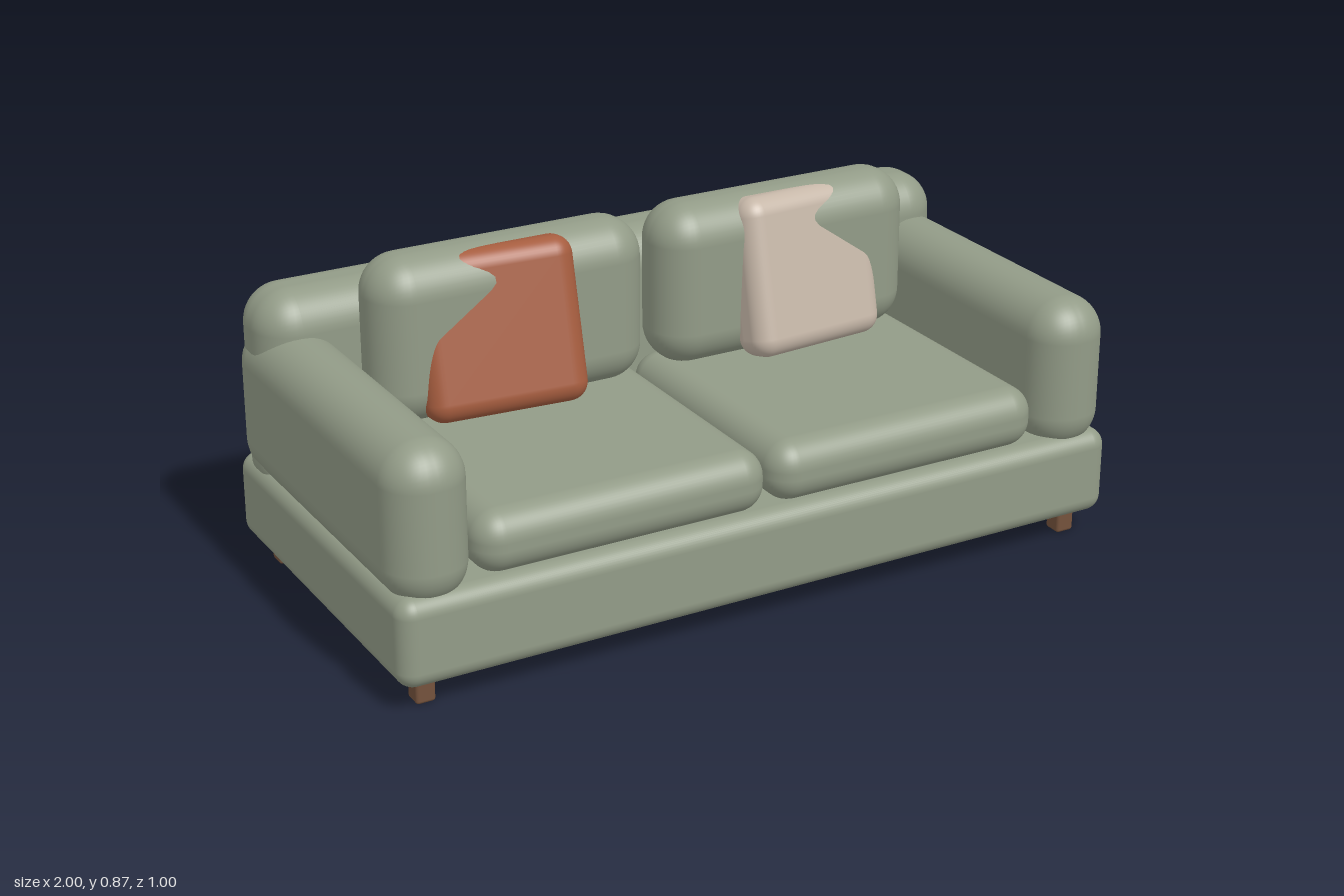
import * as THREE from 'three';
import { RoundedBoxGeometry } from 'three/addons/geometries/RoundedBoxGeometry.js';

const material = (name, color) => {
  const m = new THREE.MeshStandardMaterial({ color });
  m.name = name;
  return m;
};

// Rounded box given by its extents on each axis
function block(name, mat, [x0, x1], [y0, y1], [z0, z1], radius, segments = 6) {
  const mesh = new THREE.Mesh(
    new RoundedBoxGeometry(x1 - x0, y1 - y0, z1 - z0, segments, radius), mat);
  mesh.position.set((x0 + x1) / 2, (y0 + y1) / 2, (z0 + z1) / 2);
  mesh.name = name;
  return mesh;
}

export function createModel() {
  const sofa = new THREE.Group();
  sofa.name = 'sofa';
  const fabric = material('sage fabric', 0x929b87);
  const wood = material('brown wood', 0x74523c);
  const rust = material('rust fabric', 0xa65d3f);
  const sand = material('sand fabric', 0xc6b7a8);

  // Frame
  sofa.add(block('base', fabric, [-1, 1], [0.065, 0.295], [-0.5, 0.5], 0.045));
  sofa.add(block('backrest', fabric, [-0.99, 0.99], [0.2, 0.76], [-0.5, -0.27], 0.1));

  // Mirrored parts
  for (const [side, s] of [['left', 1], ['right', -1]]) {
    const span = (a, b) => (s > 0 ? [a, b] : [-b, -a]);
    sofa.add(block(side + 'Arm', fabric, span(0.79, 1), [0.25, 0.655], [-0.5, 0.5], 0.1));
    sofa.add(block(side + 'SeatCushion', fabric, span(0.005, 0.785), [0.285, 0.445], [-0.28, 0.48], 0.07));
    sofa.add(block(side + 'BackCushion', fabric, span(0.02, 0.768), [0.43, 0.865], [-0.29, -0.08], 0.1));

    // Throw pillow leaning into the back cushion, turned towards the middle
    const pillow = block(side + 'Pillow', s > 0 ? sand : rust,
      span(0.235, 0.655), [0.44, 0.86], [-0.181, -0.051], 0.05);
    pillow.rotation.set(-0.23, 0.16 * s, 0);
    sofa.add(pillow);

    // Legs
    for (const [end, z] of [['Front', 0.417], ['Back', -0.415]])
      sofa.add(block(side + end + 'Leg', wood, span(0.893, 0.943), [0, 0.08], [z - 0.026, z + 0.026], 0.008, 2));
  }
  return sofa;
}
